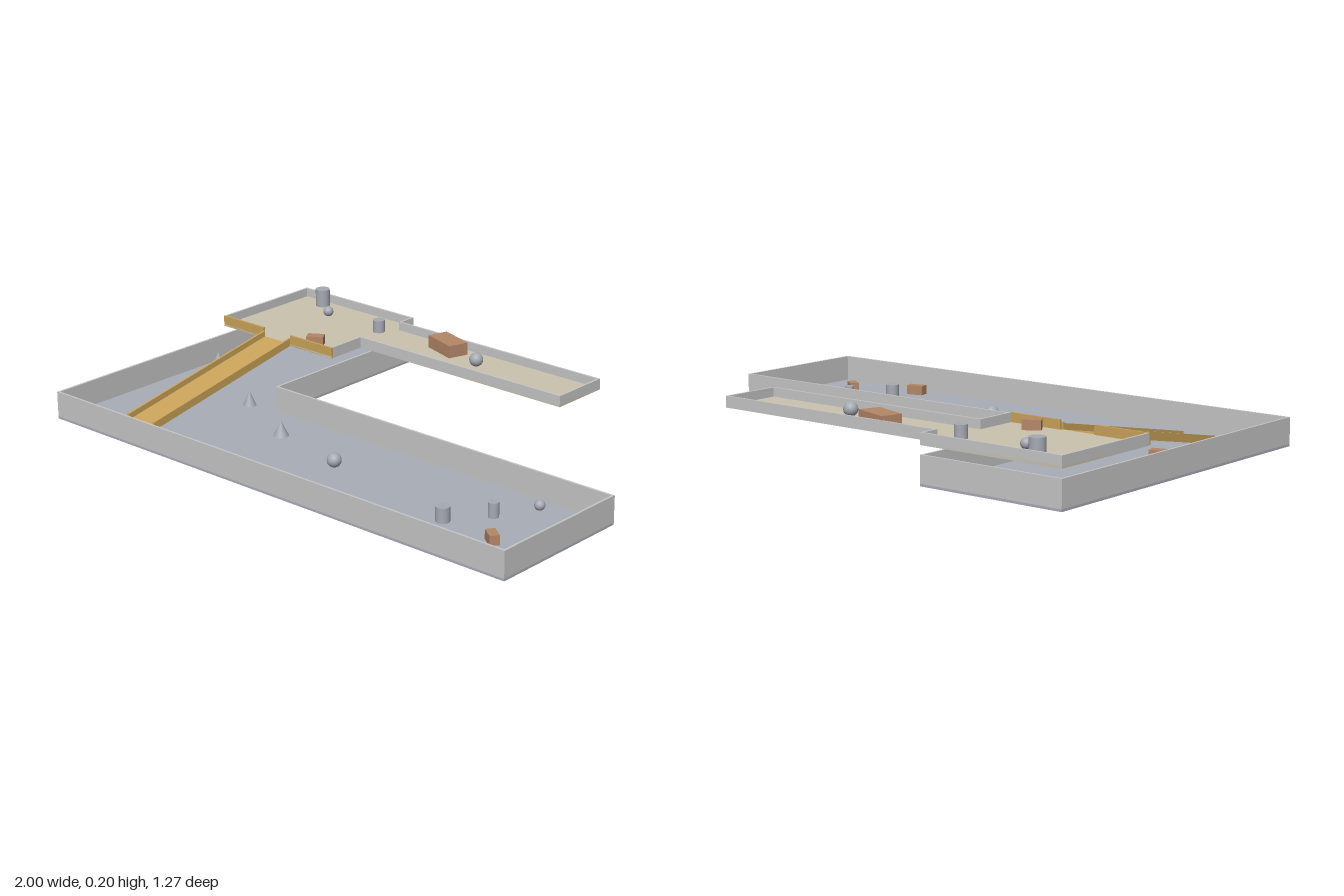
import * as THREE from 'three';

const mat = (name, color) => {
  const m = new THREE.MeshStandardMaterial({ color });
  m.name = name;
  return m;
};

export function createModel() {
  const root = new THREE.Group();
  root.name = 'terrainBoard';
  const wallGrey = mat('wall grey', 0xc6c6c8);
  const floorGrey = mat('floor blue grey', 0xa9adb7);
  const sand = mat('upper floor sand', 0xc9c3ae);
  const ochre = mat('ramp ochre', 0xcaa35a);
  const rust = mat('crate brown', 0xb58768);
  const stone = mat('marker grey', 0xa6aab3);
  const T = 0.008; // plate and wall thickness

  const add = (parent, name, geo, m, x = 0, y = 0, z = 0) => {
    const mesh = new THREE.Mesh(geo, m);
    mesh.name = name;
    mesh.position.set(x, y, z);
    parent.add(mesh);
    return mesh;
  };

  // Flat floor plate from an outline of [x, z] corners
  const floor = (parent, name, pts, y, m) => {
    const shape = new THREE.Shape(pts.map(([x, z]) => new THREE.Vector2(x, -z)));
    const geo = new THREE.ExtrudeGeometry(shape, { depth: T, bevelEnabled: false });
    add(parent, name, geo.rotateX(-Math.PI / 2), m, 0, y, 0);
  };

  // Straight axis-aligned wall between two [x, z] points
  const wall = (parent, name, a, b, y0, y1, m) => {
    const geo = new THREE.BoxGeometry(Math.abs(b[0] - a[0]) + T, y1 - y0, Math.abs(b[1] - a[1]) + T);
    add(parent, name, geo, m, (a[0] + b[0]) / 2, (y0 + y1) / 2, (a[1] + b[1]) / 2);
  };

  // Lower L-shaped tray
  const lower = new THREE.Group();
  lower.name = 'lowerTray';
  root.add(lower);
  floor(lower, 'lowerFloor', [[-1, -0.635], [-0.455, -0.635], [-0.455, 0.087], [1, 0.087], [1, 0.635], [-1, 0.635]], 0, floorGrey);
  const h = T / 2;
  const ring = [[-1 + h, -0.635 + h], [-0.455 - h, -0.635 + h], [-0.455 - h, 0.087 + h],
    [1 - h, 0.087 + h], [1 - h, 0.635 - h], [-1 + h, 0.635 - h]];
  ring.forEach((p, i) => wall(lower, 'lowerWall', p, ring[(i + 1) % ring.length], T, 0.1, wallGrey));

  // Raised platform with a narrow walkway
  const upper = new THREE.Group();
  upper.name = 'upperPlatform';
  root.add(upper);
  floor(upper, 'upperFloor', [[-1, -0.635], [-0.455, -0.635], [-0.455, -0.57], [0.455, -0.57],
    [0.455, -0.342], [-0.455, -0.342], [-0.455, -0.185], [-1, -0.185]], 0.13, sand);
  const rim = [[-1 + h, -0.185 - T], [-1 + h, -0.635 + h], [-0.455 - h, -0.635 + h], [-0.455 - h, -0.57 + h],
    [0.455 - h, -0.57 + h], [0.455 - h, -0.342 - h], [-0.455 - h, -0.342 - h], [-0.455 - h, -0.185 - T - h]];
  for (let i = 0; i < rim.length - 1; i++) wall(upper, 'upperWall', rim[i], rim[i + 1], 0.13, 0.17, wallGrey);
  for (const [x0, x1] of [[-1 + h, -0.795 - h], [-0.66 + h, -0.455 - h]]) {
    wall(upper, 'gateWall', [x0, -0.185 - h], [x1, -0.185 - h], 0.13, 0.17, ochre);
  }

  // Sloping ramp with two side rails, extruded across x from a side profile
  const ramp = new THREE.Group();
  ramp.name = 'ramp';
  root.add(ramp);
  const slope = (name, x0, x1, rise) => {
    const shape = new THREE.Shape([[-0.185, 0.13], [0.495, 0.002], [0.495, 0.002 + rise], [-0.185, 0.13 + rise]]
      .map(([z, y]) => new THREE.Vector2(z, y)));
    const geo = new THREE.ExtrudeGeometry(shape, { depth: x1 - x0, bevelEnabled: false });
    add(ramp, name, geo.rotateY(-Math.PI / 2), ochre, x1, 0, 0);
  };
  slope('rampDeck', -0.795 + T, -0.66 - T, T);
  slope('rampRail', -0.795, -0.795 + T, 0.029);
  slope('rampRail', -0.66 - T, -0.66, 0.029);

  // Loose scenery standing on the two floors
  const lo = T, up = 0.138;
  const props = new THREE.Group();
  props.name = 'scenery';
  root.add(props);

  // Pillars: x, z, floor height, radius, height
  for (const [x, z, y, r, ht] of [[-0.873, -0.589, up, 0.027, 0.066], [-0.509, -0.503, up, 0.022, 0.046],
    [0.69, 0.302, lo, 0.018, 0.052], [0.591, 0.433, lo, 0.024, 0.052]]) {
    add(props, 'pillar', new THREE.CylinderGeometry(r, r, ht, 20), stone, x, y + ht / 2, z);
  }

  // Balls: x, z, floor height, radius
  for (const [x, z, y, r] of [[-0.77, -0.509, up, 0.019], [-0.002, -0.452, up, 0.025],
    [0.038, 0.335, lo, 0.025], [0.768, 0.166, lo, 0.018]]) {
    add(props, 'ball', new THREE.SphereGeometry(r, 20, 14), stone, x, y + r, z);
  }

  // Cones: x, z, radius
  for (const [x, z, r] of [[-0.945, -0.097, 0.026], [-0.575, 0.113, 0.024], [-0.288, 0.25, 0.027]]) {
    add(props, 'cone', new THREE.ConeGeometry(r, 0.055, 20), stone, x, lo + 0.0275, z);
  }

  // Crates: x, z, floor height, length, height, width, turn
  for (const [x, z, y, l, ht, w, turn] of [[-0.18, -0.508, up, 0.14, 0.046, 0.078, -0.31],
    [-0.589, -0.246, up, 0.062, 0.034, 0.037, 0.54], [-0.818, 0.131, lo, 0.06, 0.036, 0.038, 0.25],
    [0.808, 0.454, lo, 0.055, 0.034, 0.033, -0.62], [0.578, 0.556, lo, 0.063, 0.034, 0.037, 0.25]]) {
    add(props, 'crate', new THREE.BoxGeometry(l, ht, w), rust, x, y + ht / 2, z).rotation.y = turn;
  }

  return root;
}
